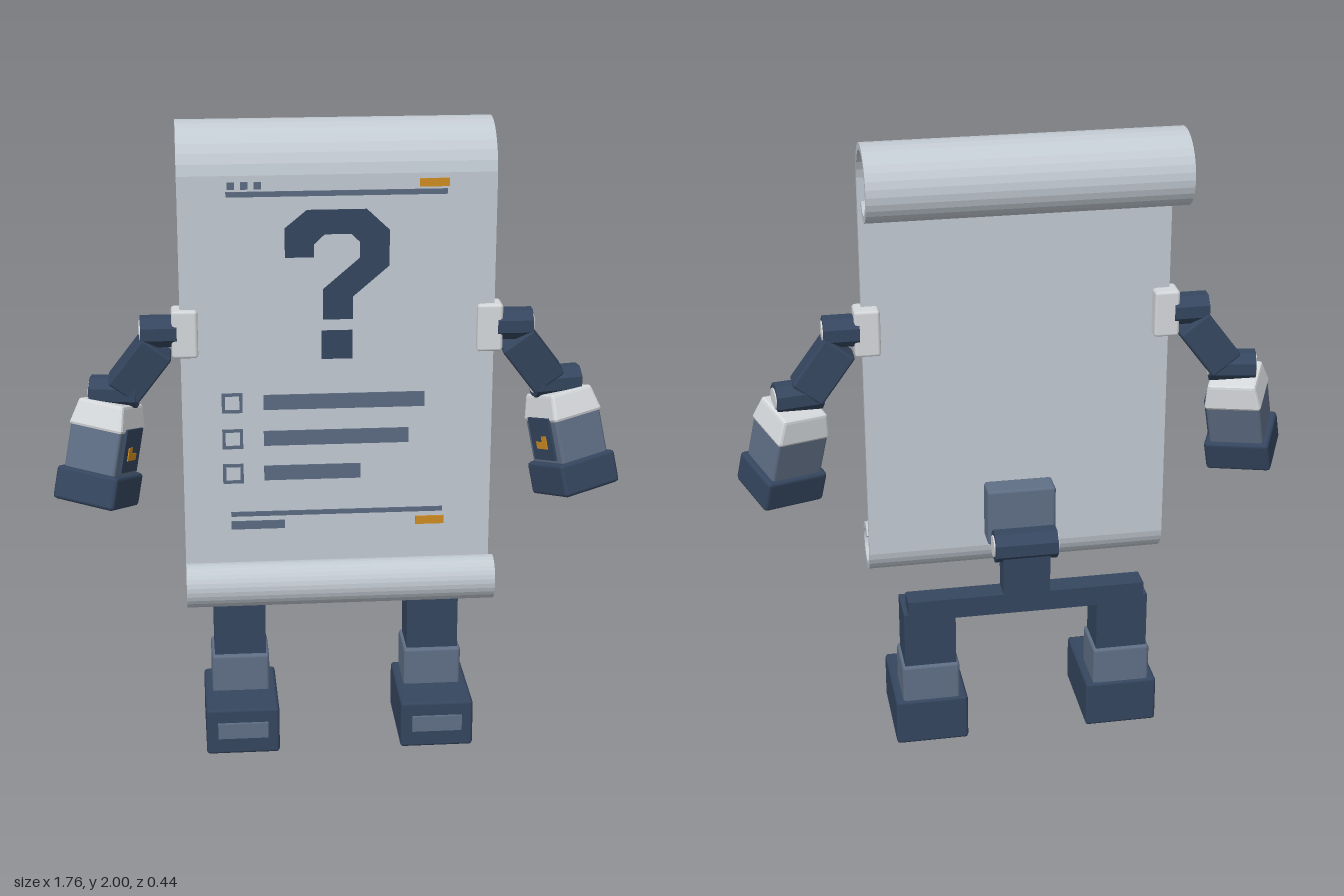
import * as THREE from 'three';
import { RoundedBoxGeometry } from 'three/addons/geometries/RoundedBoxGeometry.js';

const material = (name, color) => {
  const m = new THREE.MeshStandardMaterial({ color });
  m.name = name;
  return m;
};

export function createModel() {
  const paper = material('paper grey', 0xc2cad2);
  const pale = material('pale grey', 0xd6d9dc);
  const navy = material('navy', 0x35465f);
  const slate = material('slate', 0x606f86);
  const ink = material('ink', 0x5c6b82);
  const orange = material('orange', 0xcf8d22);

  const root = new THREE.Group();
  root.name = 'scrollRobot';
  const deg = THREE.MathUtils.degToRad;

  function add(parent, name, geometry, mat, x = 0, y = 0, z = 0) {
    const mesh = new THREE.Mesh(geometry, mat);
    mesh.name = name;
    mesh.position.set(x, y, z);
    parent.add(mesh);
    return mesh;
  }
  const box = (w, h, d) => new THREE.BoxGeometry(w, h, d);
  const bevelBox = (w, h, d, r = 0.01) => new RoundedBoxGeometry(w, h, d, 1, r);

  // Octagonal joint lying along x, with pale discs in both ends
  function joint(parent, name, length, radius, x, y, z) {
    const g = new THREE.Group();
    g.name = name;
    g.position.set(x, y, z);
    const barrel = new THREE.CylinderGeometry(radius, radius, length, 8).toNonIndexed();
    barrel.rotateY(Math.PI / 8).rotateZ(Math.PI / 2).computeVertexNormals();
    add(g, 'jointBarrel', barrel, navy);
    const cap = new THREE.CylinderGeometry(radius * 0.68, radius * 0.68, length + 0.008, 16);
    add(g, 'jointCaps', cap.rotateZ(Math.PI / 2), pale);
    parent.add(g);
    return g;
  }

  // Paper sheet: one curled strip, thickened and extruded across the width
  const path = [];
  const steps = 28;
  const curl = (sign, cz, cy, radius, shrink, t) => {
    const a = t * Math.PI * 1.75;
    const r = radius - shrink * t * 1.75;
    return new THREE.Vector2(cz + sign * r * Math.cos(a), cy + sign * r * Math.sin(a));
  };
  for (let i = steps; i >= 0; i--) path.push(curl(1, -0.108, 1.861, 0.16, 0.062, i / steps));
  for (let i = 0; i <= steps; i++) path.push(curl(-1, 0.1455, 0.6025, 0.0935, 0.032, i / steps));
  const offset = (d) => path.map((p, i) => {
    const a = path[Math.max(i - 1, 0)];
    const b = path[Math.min(i + 1, path.length - 1)];
    const t = b.clone().sub(a).normalize();
    return new THREE.Vector2(p.x - t.y * d, p.y + t.x * d);
  });
  const outline = [...offset(0.0105), ...offset(-0.0105).reverse()];
  const sheet = new THREE.ExtrudeGeometry(new THREE.Shape(outline), { depth: 0.96, bevelEnabled: false });
  sheet.rotateY(-Math.PI / 2).translate(0.48, 0, 0);
  add(root, 'scrollSheet', sheet, paper);

  // Printed details, as thin plates on the sheet front
  const print = new THREE.Group();
  print.name = 'printedDetails';
  root.add(print);
  const bar = (name, x0, x1, y0, y1, mat = ink) =>
    add(print, name, box(x1 - x0, y1 - y0, 0.006), mat, (x0 + x1) / 2, (y0 + y1) / 2, 0.0635);
  for (const x of [-0.32, -0.28, -0.24]) bar('headerDot', x - 0.011, x + 0.011, 1.82, 1.842);
  bar('headerRule', -0.335, 0.33, 1.797, 1.813);
  bar('headerTag', 0.245, 0.335, 1.82, 1.845, orange);
  bar('footerRule', -0.335, 0.33, 0.78, 0.795);
  bar('footerBar', -0.335, -0.167, 0.737, 0.764);
  bar('footerTag', 0.245, 0.335, 0.737, 0.764, orange);

  // Checklist rows
  for (const [y, end] of [[1.154, 0.268], [1.037, 0.22], [0.923, 0.07]]) {
    bar('listBar', -0.23, end, y - 0.024, y + 0.024);
    const x = -0.326, o = 0.032, n = 0.022;
    bar('checkboxTop', x - o, x + o, y + n, y + o);
    bar('checkboxBottom', x - o, x + o, y - o, y - n);
    bar('checkboxSide', x - o, x - n, y - n, y + n);
    bar('checkboxSide', x + n, x + o, y - n, y + n);
  }

  // Angular hook symbol with a square below it
  const hook = new THREE.Shape([
    [-0.16, 1.61], [-0.16, 1.70], [-0.093, 1.755], [0.087, 1.755], [0.156, 1.69], [0.156, 1.58],
    [0.045, 1.485], [0.045, 1.415], [-0.045, 1.415], [-0.045, 1.51], [0.066, 1.605], [0.066, 1.655],
    [0.04, 1.68], [-0.04, 1.68], [-0.072, 1.65], [-0.072, 1.61],
  ].map(([x, y]) => new THREE.Vector2(x, y)));
  add(print, 'hookSymbol', new THREE.ExtrudeGeometry(hook, { depth: 0.006, bevelEnabled: false }), navy, 0, 0, 0.0605);
  bar('hookSquare', -0.05, 0.045, 1.29, 1.38, navy);

  // Back mount, hip joint and pelvis
  add(root, 'backMount', bevelBox(0.22, 0.19, 0.084), slate, 0, 0.742, -0.006);
  joint(root, 'hipJoint', 0.2, 0.052, 0, 0.673, -0.1);
  add(root, 'hipPost', box(0.15, 0.2, 0.074), navy, 0, 0.56, -0.098);
  add(root, 'pelvisBar', box(0.76, 0.068, 0.074), navy, 0, 0.48, -0.098);

  for (const s of [1, -1]) {
    const side = s > 0 ? 'left' : 'right';

    // Leg
    const leg = new THREE.Group();
    leg.name = side + 'Leg';
    leg.position.x = s * 0.312;
    root.add(leg);
    add(leg, 'thigh', box(0.165, 0.21, 0.14), navy, 0, 0.362, -0.06);
    add(leg, 'shin', bevelBox(0.185, 0.14, 0.165), slate, 0, 0.21, -0.058);
    add(leg, 'foot', bevelBox(0.234, 0.157, 0.314), navy, 0, 0.0785, 0.008);
    add(leg, 'toePlate', box(0.16, 0.052, 0.009), slate, 0, 0.085, 0.1695);

    // Shoulder and upper arm
    const arm = new THREE.Group();
    arm.name = side + 'Arm';
    root.add(arm);
    add(arm, 'shoulderClamp', bevelBox(0.08, 0.15, 0.082), pale, s * 0.466, 1.379, 0.04);
    joint(arm, 'shoulderJoint', 0.11, 0.05, s * 0.545, 1.383, 0.038);
    const upper = add(arm, 'upperArm', bevelBox(0.113, 0.18, 0.1, 0.008), navy, s * 0.605, 1.268, 0.03);
    upper.rotation.set(deg(5), 0, s * deg(37));
    joint(arm, 'elbowJoint', 0.145, 0.05, s * 0.685, 1.188, 0.018).rotation.y = s * deg(10);

    // Forearm hangs down from the elbow, turned outward and tilted forward
    const fore = new THREE.Group();
    fore.name = side + 'Forearm';
    fore.position.set(s * 0.69, 1.188, 0.01);
    fore.rotation.set(deg(-14), s * deg(25), s * deg(5), 'YXZ');
    arm.add(fore);
    const cuff = bevelBox(0.18, 0.085, 0.175);
    const p = cuff.attributes.position;
    for (let i = 0; i < p.count; i++) {
      if (p.getY(i) > 0) p.setXYZ(i, p.getX(i) * 0.86, p.getY(i), p.getZ(i) * 0.86);
    }
    cuff.computeVertexNormals();
    add(fore, 'cuff', cuff, pale, 0, -0.075, 0);
    add(fore, 'forearmBlock', bevelBox(0.174, 0.15, 0.166), slate, 0, -0.18, 0);
    add(fore, 'hand', bevelBox(0.21, 0.105, 0.19, 0.012), navy, 0, -0.3, 0);

    // Small display on the inner face
    add(fore, 'display', box(0.009, 0.135, 0.11), navy, -s * 0.091, -0.17, 0);
    add(fore, 'displayMark', box(0.004, 0.022, 0.055), orange, -s * 0.0965, -0.19, 0);
    add(fore, 'displayMarkTop', box(0.004, 0.02, 0.024), orange, -s * 0.0965, -0.17, 0.016);
  }
  return root;
}
